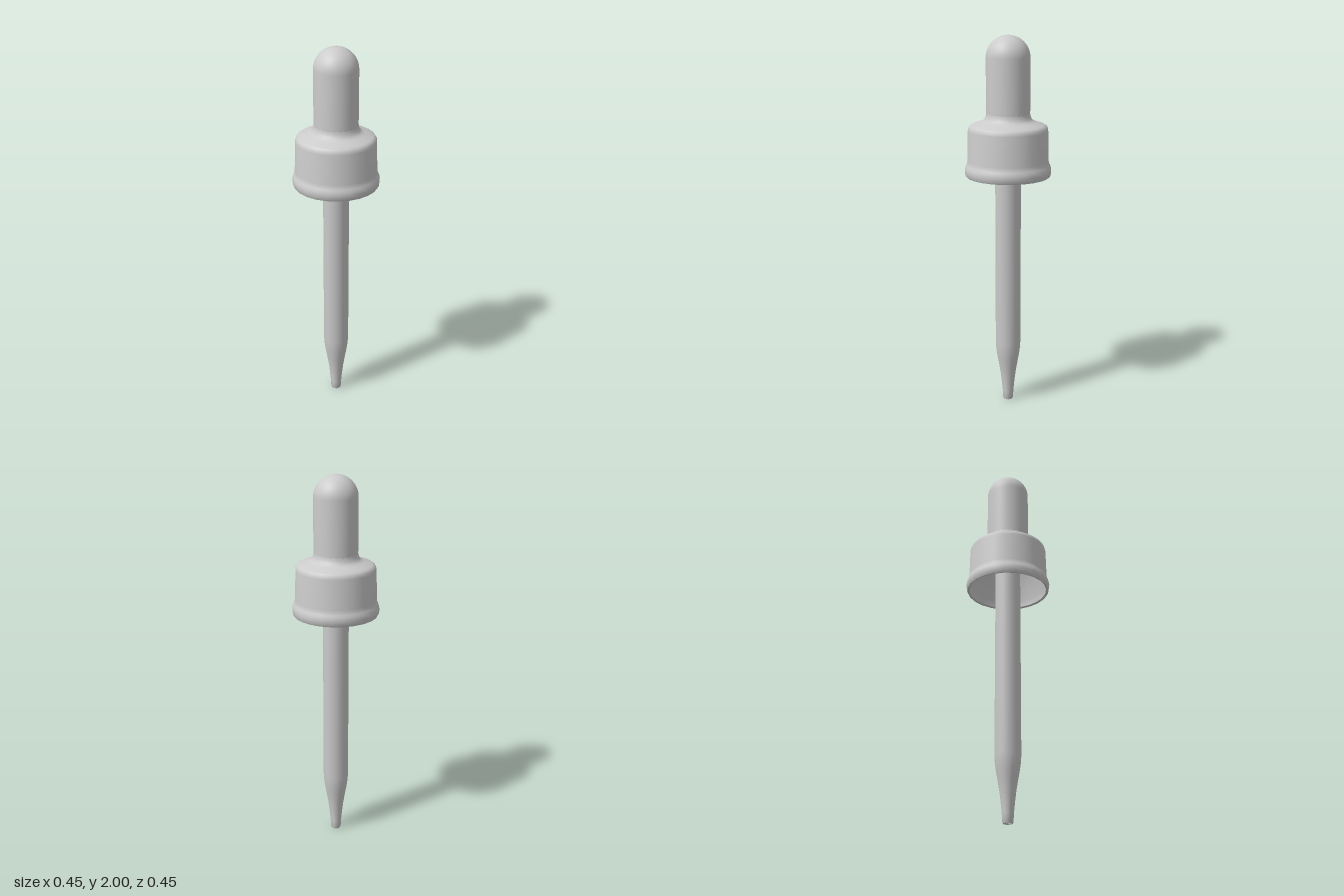
import * as THREE from 'three';
import { toCreasedNormals } from 'three/addons/utils/BufferGeometryUtils.js';

const material = new THREE.MeshStandardMaterial({ color: 0xcccccc });

// Revolve [radius, y] points; ascending points face outward.
function turned(name, points, sides) {
  const profile = points.map(([r, y]) => new THREE.Vector2(r, y));
  const geometry = toCreasedNormals(new THREE.LatheGeometry(profile, sides), 0.75);
  const mesh = new THREE.Mesh(geometry, material);
  mesh.name = name;
  return mesh;
}

export function createModel() {
  const model = new THREE.Group();
  model.name = 'dropper';

  // Glass pipette: outer wall, then the bore back down to the open tip
  const taper = [[0.028, 0.008], [0.03, 0.05], [0.035, 0.1], [0.042, 0.16], [0.052, 0.22],
    [0.06, 0.265], [0.065, 0.3], [0.068, 0.34]];
  const bore = taper.map(([r, y]) => [r - 0.011, y]).reverse();
  model.add(turned('pipette', [
    [0.017, 0.004], [0.02, 0], [0.025, 0], ...taper, [0.068, 1.54],
    [0.057, 1.54], ...bore, [0.017, 0.004],
  ], 24));

  // Screw cap: beaded rim, straight wall, sloped shoulder, hollow underneath
  model.add(turned('cap', [
    [0.208, 1.28], [0.213, 1.275], [0.219, 1.275], [0.224, 1.284], [0.227, 1.305], [0.225, 1.322],
    [0.219, 1.335], [0.215, 1.345], [0.213, 1.36], [0.209, 1.515], [0.207, 1.528],
    [0.2, 1.539], [0.19, 1.545], [0.15, 1.558], [0.132, 1.566], [0.122, 1.576], [0.116, 1.592],
    [0.113, 1.61], [0.05, 1.61], [0.05, 1.525], [0.188, 1.525], [0.195, 1.515],
    [0.2, 1.345], [0.208, 1.32], [0.208, 1.28],
  ], 24));

  // Rubber bulb: straight sleeve with a domed end
  const radius = 0.114;
  const dome = [];
  for (let i = 0; i <= 14; i++) {
    const a = (i / 14) * Math.PI / 2;
    dome.push([radius * Math.cos(a), 2 - radius + radius * Math.sin(a)]);
  }
  model.add(turned('bulb', [[radius, 1.56], ...dome], 40));

  return model;
}
